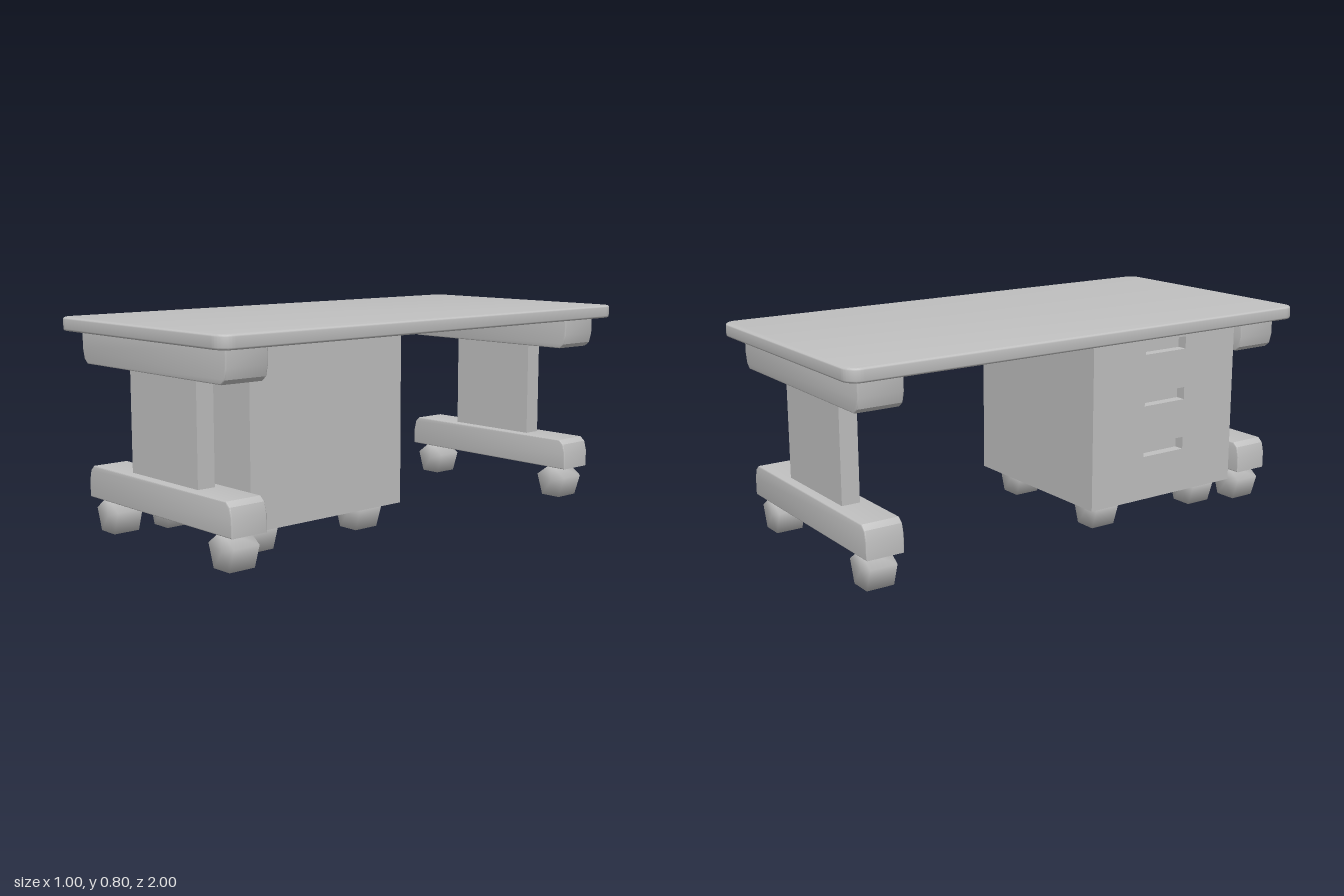
import * as THREE from 'three';
import { toCreasedNormals, mergeVertices } from 'three/addons/utils/BufferGeometryUtils.js';

export function createModel() {
  const model = new THREE.Group();
  const grey = new THREE.MeshStandardMaterial({ color: 0xc0c0c0 });
  grey.name = 'plain grey';

  function add(name, geometry, x, y, z, parent = model) {
    const mesh = new THREE.Mesh(geometry, grey);
    mesh.name = name;
    mesh.position.set(x, y, z);
    parent.add(mesh);
    return mesh;
  }

  // Extrudes a shape to a total depth, centred on z, with softly rounded edges
  function softExtrude(shape, depth, bevel) {
    const g = new THREE.ExtrudeGeometry(shape, {
      depth: depth - 2 * bevel, bevelEnabled: true, bevelThickness: bevel,
      bevelSize: bevel, bevelOffset: -bevel, bevelSegments: 3, curveSegments: 8,
    });
    g.translate(0, 0, bevel - depth / 2);
    return toCreasedNormals(g, 0.6);
  }

  function rectangle(target, x0, y0, x1, y1) {
    target.moveTo(x0, y0);
    target.lineTo(x1, y0);
    target.lineTo(x1, y1);
    target.lineTo(x0, y1);
    target.closePath();
    return target;
  }

  // Table top with rounded corners
  const w = 0.5, l = 1, r = 0.055;
  const topShape = new THREE.Shape();
  topShape.absarc(w - r, l - r, r, 0, Math.PI / 2);
  topShape.absarc(-w + r, l - r, r, Math.PI / 2, Math.PI);
  topShape.absarc(-w + r, -l + r, r, Math.PI, Math.PI * 1.5);
  topShape.absarc(w - r, -l + r, r, Math.PI * 1.5, Math.PI * 2);
  topShape.closePath();
  add('tableTop', softExtrude(topShape, 0.05, 0.008).rotateX(-Math.PI / 2), 0, 0.77, 0);

  // Rail section: straight sides with shoulders rounded off at the upper ends
  const railShape = new THREE.Shape([
    [-0.435, 0], [0.435, 0], [0.435, 0.065], [0.425, 0.103], [0.405, 0.12],
    [-0.405, 0.12], [-0.425, 0.103], [-0.435, 0.065],
  ].map(([x, y]) => new THREE.Vector2(x, y)));
  const footGeometry = softExtrude(railShape, 0.145, 0.004);
  const bearerGeometry = softExtrude(railShape, 0.172, 0.004).rotateZ(Math.PI);

  // Five-sided castor, shaded smoothly over its edges
  let castor = new THREE.CylinderGeometry(0.0745, 0.0745, 0.105, 5);
  castor.rotateX(Math.PI / 2).rotateZ(Math.PI);
  castor.computeBoundingBox();
  // Put one flat side on the ground
  if (Math.abs(castor.boundingBox.min.y) > castor.boundingBox.max.y) castor.rotateZ(Math.PI);
  castor.computeBoundingBox();
  castor.translate(0, -castor.boundingBox.min.y, 0);
  castor.deleteAttribute('uv');
  castor.deleteAttribute('normal');
  castor = mergeVertices(castor, 1e-4);
  castor.computeVertexNormals();

  // Two end legs
  for (const side of [1, -1]) {
    const leg = new THREE.Group();
    leg.name = side > 0 ? 'frontLeg' : 'backLeg';
    leg.position.z = 0.852 * side;
    model.add(leg);
    add('foot', footGeometry, 0, 0.125, 0, leg);
    add('column', new THREE.BoxGeometry(0.4, 0.384, 0.07), 0, 0.435, 0, leg);
    add('bearer', bearerGeometry, 0, 0.745, 0, leg);
    for (const x of [0.35, -0.35]) add('legCastor', castor, x, 0, 0, leg);
  }

  // Drawer cabinet: body and a front panel with three recessed grips
  const cabinet = new THREE.Group();
  cabinet.name = 'cabinet';
  model.add(cabinet);
  const x0 = -0.405, x1 = 0.318, recess = 0.04, y0 = 0.095, y1 = 0.747, z0 = 0.05, z1 = 0.755;
  add('cabinetBody', new THREE.BoxGeometry(x1 - x0 - recess, y1 - y0, z1 - z0),
    (x0 + recess + x1) / 2, (y0 + y1) / 2, (z0 + z1) / 2, cabinet);
  const panel = rectangle(new THREE.Shape(), z0, y0, z1, y1);
  for (const y of [0.29, 0.49, 0.69]) {
    panel.holes.push(rectangle(new THREE.Path(), 0.3, y - 0.024, 0.5, y + 0.024));
  }
  const panelGeometry = new THREE.ExtrudeGeometry(panel, { depth: recess, bevelEnabled: false });
  add('drawerPanel', panelGeometry.rotateY(-Math.PI / 2), x0 + recess, 0, 0, cabinet);
  for (const x of [0.2, -0.3]) {
    for (const z of [0.155, 0.653]) add('cabinetCastor', castor, x, 0, z, cabinet);
  }

  return model;
}
